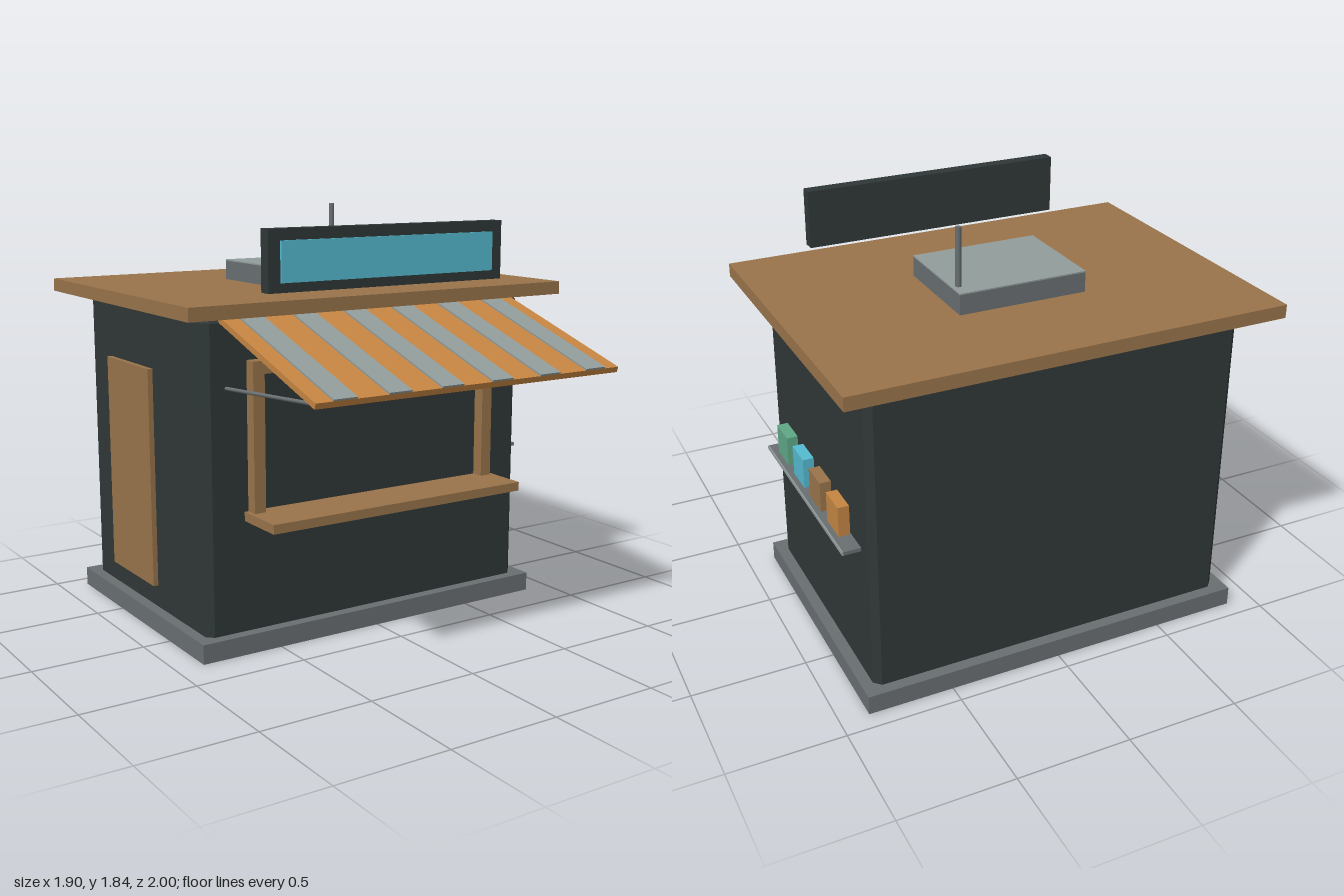
import * as THREE from 'three';
import { ConvexGeometry } from 'three/addons/geometries/ConvexGeometry.js';

const paint = (name, color) => {
  const m = new THREE.MeshStandardMaterial({ color });
  m.name = name;
  return m;
};

export function createModel() {
  const charcoal = paint('charcoal', 0x2f3837);
  const wood = paint('wood', 0x9a744b);
  const orange = paint('orange', 0xc68643);
  const paleGrey = paint('pale grey', 0x929d9b);
  const metal = paint('metal grey', 0x696f72);
  const cyan = paint('cyan', 0x55bbd0);
  const green = paint('green', 0x5fa987);

  const model = new THREE.Group();
  model.name = 'kiosk';

  const add = (name, geometry, material, parent = model) => {
    const mesh = new THREE.Mesh(geometry, material);
    mesh.name = name;
    parent.add(mesh);
    return mesh;
  };
  // Box given by its extents along each axis
  const box = (name, [x0, x1], [y0, y1], [z0, z1], material, parent) => {
    const mesh = add(name, new THREE.BoxGeometry(x1 - x0, y1 - y0, z1 - z0), material, parent);
    mesh.position.set((x0 + x1) / 2, (y0 + y1) / 2, (z0 + z1) / 2);
    return mesh;
  };
  // Straight rod between two points
  const rod = (name, a, b, radius, material) => {
    const dir = b.clone().sub(a);
    const mesh = add(name, new THREE.CylinderGeometry(radius, radius, dir.length(), 12), material);
    mesh.position.copy(a).add(b).multiplyScalar(0.5);
    mesh.quaternion.setFromUnitVectors(new THREE.Vector3(0, 1, 0), dir.normalize());
    return mesh;
  };
  // Box with every edge chamfered
  const chamferedBox = (w, h, d, c) => {
    const points = [];
    for (const sx of [-1, 1]) for (const sy of [-1, 1]) for (const sz of [-1, 1]) {
      for (let axis = 0; axis < 3; axis++) {
        const inset = [c, c, c];
        inset[axis] = 0;
        points.push(new THREE.Vector3(
          sx * (w / 2 - inset[0]), sy * (h / 2 - inset[1]), sz * (d / 2 - inset[2])));
      }
    }
    return new ConvexGeometry(points);
  };

  // Base, walls and roof
  box('base', [-0.875, 0.875], [0, 0.085], [-0.92, 0.32], metal);
  const walls = add('walls', chamferedBox(1.65, 1.385, 1.14, 0.03), charcoal);
  walls.position.set(0, 0.7475, -0.3);
  box('roof', [-0.952, 0.952], [1.44, 1.498], [-1, 0.4], wood);

  // Roof unit and antenna
  box('roofUnit', [-0.284, 0.284], [1.498, 1.584], [-0.533, -0.07], metal);
  box('roofUnitLid', [-0.284, 0.284], [1.584, 1.59], [-0.533, -0.07], paleGrey);
  rod('antenna', new THREE.Vector3(0.255, 1.59, -0.457),
    new THREE.Vector3(0.255, 1.84, -0.457), 0.013, metal);

  // Sign board with a blank bright panel
  box('signBoard', [-0.596, 0.596], [1.53, 1.787], [0.345, 0.402], charcoal);
  box('signPanel', [-0.54, 0.54], [1.57, 1.74], [0.402, 0.411], cyan);

  // Serving window
  box('windowPanel', [-0.565, 0.565], [0.62, 1.2], [0.27, 0.278], charcoal);
  box('counter', [-0.645, 0.645], [0.57, 0.61], [0.265, 0.51], wood);
  box('windowHeader', [-0.573, 0.573], [1.195, 1.25], [0.265, 0.325], wood);
  for (const s of [-1, 1]) {
    const post = box('windowPost', [-0.027, 0.027], [0.61, 1.25], [0.265, 0.325], wood);
    post.position.x = s * 0.6;
  }

  // Striped awning, tilted about its upper edge
  const awning = new THREE.Group();
  awning.name = 'awning';
  awning.position.set(0, 1.425, 0.265);
  awning.rotation.x = 0.315;
  model.add(awning);
  box('awningPanel', [-0.75, 0.75], [-0.0125, 0.0125], [0, 0.768], orange, awning);
  for (let i = 0; i < 6; i++) {
    const x = (i - 2.5) * 0.248;
    box('awningStripe', [x - 0.053, x + 0.053], [0.0125, 0.02], [0, 0.768], paleGrey, awning);
  }
  for (const s of [-1, 1]) {
    rod('awningStrut', new THREE.Vector3(s * 0.722, 1.14, 0.265),
      new THREE.Vector3(s * 0.722, 1.187, 0.975), 0.008, metal);
  }

  // Side door
  box('door', [-0.848, -0.82], [0.185, 1.165], [-0.64, -0.21], wood);

  // Side shelf with four packets
  box('shelf', [0.82, 0.9], [0.684, 0.7], [-0.77, 0.17], metal);
  box('shelfEdge', [0.9, 0.905], [0.684, 0.7], [-0.77, 0.17], paleGrey);
  [green, cyan, wood, orange].forEach((material, i) => {
    const z = 0.01 - i * 0.207;
    box('packet', [0.835, 0.883], [0.711, 0.845], [z - 0.067, z + 0.067], material);
  });

  return model;
}
